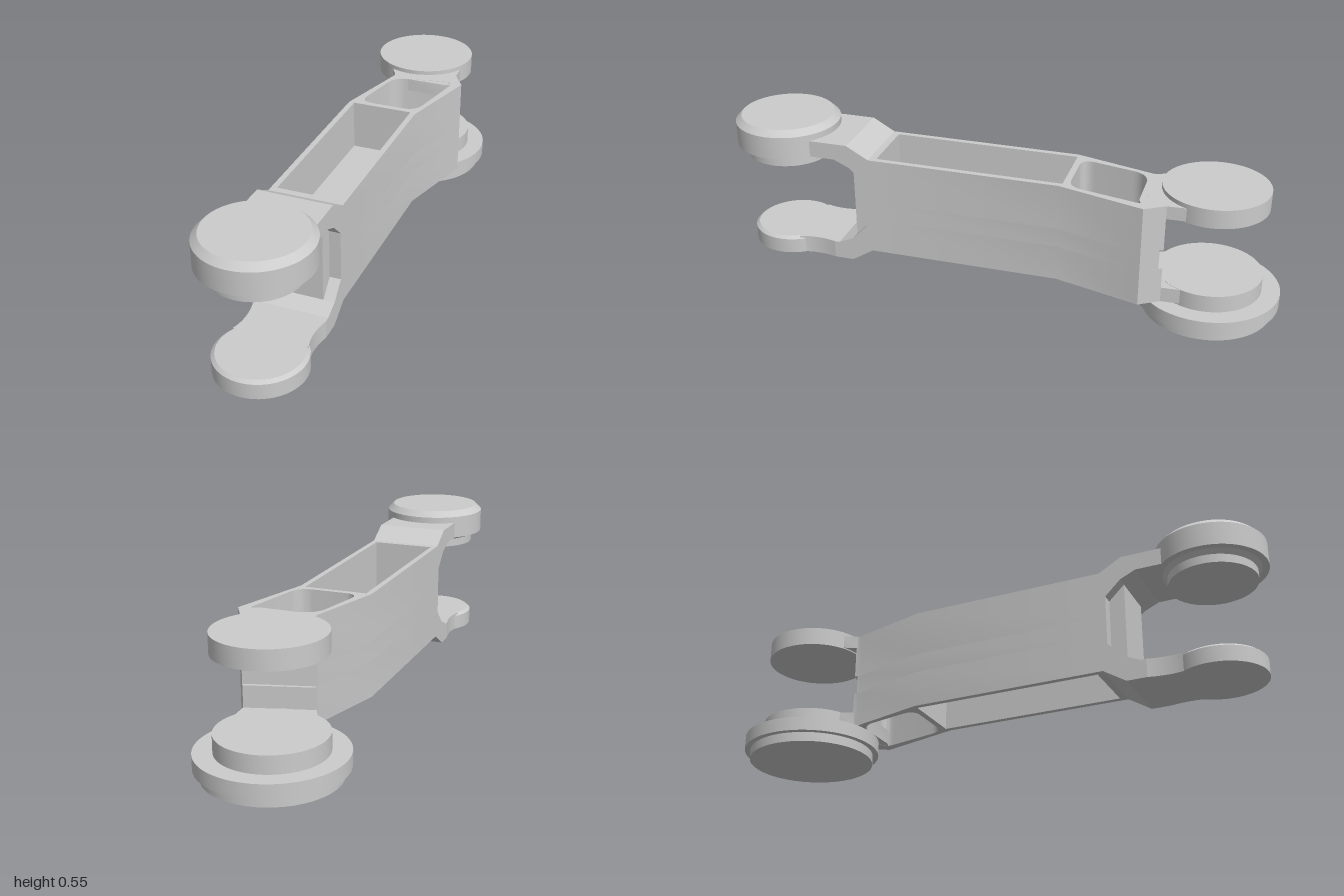
import * as THREE from 'three';
import { toCreasedNormals } from 'three/addons/utils/BufferGeometryUtils.js';

const material = new THREE.MeshStandardMaterial({ color: 0xcccccc });

const toShape = (points) => new THREE.Shape(points.map(([a, b]) => new THREE.Vector2(a, b)));

// Polygon with every corner rounded by a fixed distance
function roundedShape(points, radius) {
  const shape = new THREE.Shape();
  const v = points.map(([a, b]) => new THREE.Vector2(a, b));
  const towards = (a, b) => a.clone().add(b.clone().sub(a).setLength(radius));
  v.forEach((corner, i) => {
    const start = towards(corner, v[(i + v.length - 1) % v.length]);
    const end = towards(corner, v[(i + 1) % v.length]);
    if (i === 0) shape.moveTo(start.x, start.y);
    else shape.lineTo(start.x, start.y);
    shape.quadraticCurveTo(corner.x, corner.y, end.x, end.y);
  });
  shape.closePath();
  return shape;
}

// Plan outlines use (x, -z) and are raised from y0 to y1
function raise(shape, y0, y1) {
  const geo = new THREE.ExtrudeGeometry(shape, { depth: y1 - y0, bevelEnabled: false, curveSegments: 10 });
  geo.rotateX(-Math.PI / 2).translate(0, y0, 0);
  return toCreasedNormals(geo, 0.5);
}

// Side outlines use (z, y) and are swept from x0 to x1
function sweepAcross(shape, x0, x1) {
  const geo = new THREE.ExtrudeGeometry(shape, { depth: x1 - x0, bevelEnabled: false });
  return geo.rotateY(-Math.PI / 2).translate(x1, 0, 0);
}

// Turned disc from (radius, y) pairs, listed bottom to top
function turned(profile, z) {
  const pts = [[0, profile[0][1]], ...profile, [0, profile[profile.length - 1][1]]];
  const geo = new THREE.LatheGeometry(pts.map(([r, y]) => new THREE.Vector2(r, y)), 64);
  return toCreasedNormals(geo, 0.5).translate(0, 0, z);
}

export function createModel() {
  const group = new THREE.Group();
  const add = (name, geometry) => {
    const mesh = new THREE.Mesh(geometry, material);
    mesh.name = name;
    group.add(mesh);
  };

  const FRONT_Z = 0.81, BACK_Z = -0.755;

  // Bent hollow beam, in three layers so the back end carries a shallow groove
  const pocket = [[-0.11, -0.425], [0.11, -0.425], [0.11, 0.25], [-0.11, 0.25]];
  const roundPocket = () => roundedShape([[-0.095, 0.272], [0.122, 0.272], [0.182, 0.555], [-0.045, 0.51]], 0.05);
  const beamOutline = (inset) => toShape([
    [-0.13, -0.45], [0.13, -0.45], [0.13, 0.24], [0.213, 0.545],
    [0.17 + inset * 0.6, 0.615 - inset], [-0.055, 0.55 - inset], [-0.055, 0.53], [-0.13, 0.25],
  ]);
  [[0.09, 0.22, 0], [0.22, 0.29, 0.012], [0.29, 0.455, 0]].forEach(([y0, y1, inset]) => {
    const outline = beamOutline(inset);
    outline.holes.push(toShape(pocket), roundPocket());
    add('beamWalls', raise(outline, y0, y1));
  });

  // Thin webs closing both pockets half way up
  add('pocketWeb', raise(toShape(pocket), 0.255, 0.275));
  add('roundPocketWeb', raise(roundPocket(), 0.255, 0.275));

  // Front fork, with notched cheeks either side of a full core
  const forkOutline = (notch) => toShape([
    [0.45, 0.09], [0.53, 0.04], [0.6, 0.04], [0.6, 0.105], [0.58, 0.105], [0.525, 0.13],
    ...notch,
    [0.525, 0.415], [0.58, 0.44], [0.7, 0.44], [0.7, 0.5], [0.53, 0.5], [0.45, 0.455],
  ]);
  add('forkCore', sweepAcross(forkOutline([]), -0.09, 0.09));
  const cheek = forkOutline([[0.47, 0.185], [0.47, 0.362]]);
  add('rightForkCheek', sweepAcross(cheek, -0.13, -0.09));
  add('leftForkCheek', sweepAcross(cheek, 0.09, 0.13));

  // Lower front paddle with a waisted neck
  const neck = new THREE.Shape();
  neck.moveTo(-0.13, -0.6);
  neck.quadraticCurveTo(-0.11, -0.68, -0.132, -0.74);
  neck.lineTo(0.132, -0.74);
  neck.quadraticCurveTo(0.11, -0.68, 0.13, -0.6);
  neck.closePath();
  add('lowerFrontNeck', raise(neck, 0.04, 0.105));
  add('lowerFrontPaddle', turned([[0.155, 0.04], [0.155, 0.095], [0.143, 0.105]], FRONT_Z));

  // Upper front joint cap
  add('upperFrontCap', turned([
    [0.152, 0.395], [0.152, 0.425], [0.167, 0.44], [0.19, 0.44], [0.19, 0.523], [0.168, 0.545],
  ], FRONT_Z));

  // Back lugs linking the beam to the discs
  const lug = toShape([
    [-0.05, 0.52], [0.15, 0.52], [0.213, 0.545], [0.17, 0.615], [0.167, 0.68],
    [-0.08, 0.68], [-0.08, 0.59], [-0.05, 0.535],
  ]);
  add('lowerBackLug', raise(lug, 0.0905, 0.144));
  add('upperBackLug', raise(lug, 0.407, 0.4545));

  // Back discs and the stepped foot
  add('upperBackDisc', turned([[0.183, 0.403], [0.183, 0.47]], BACK_Z));
  add('lowerBackDisc', turned([[0.183, 0.08], [0.183, 0.145]], BACK_Z));
  add('backFoot', turned([[0.226, 0], [0.226, 0.034], [0.247, 0.034], [0.247, 0.084]], BACK_Z));

  return group;
}
